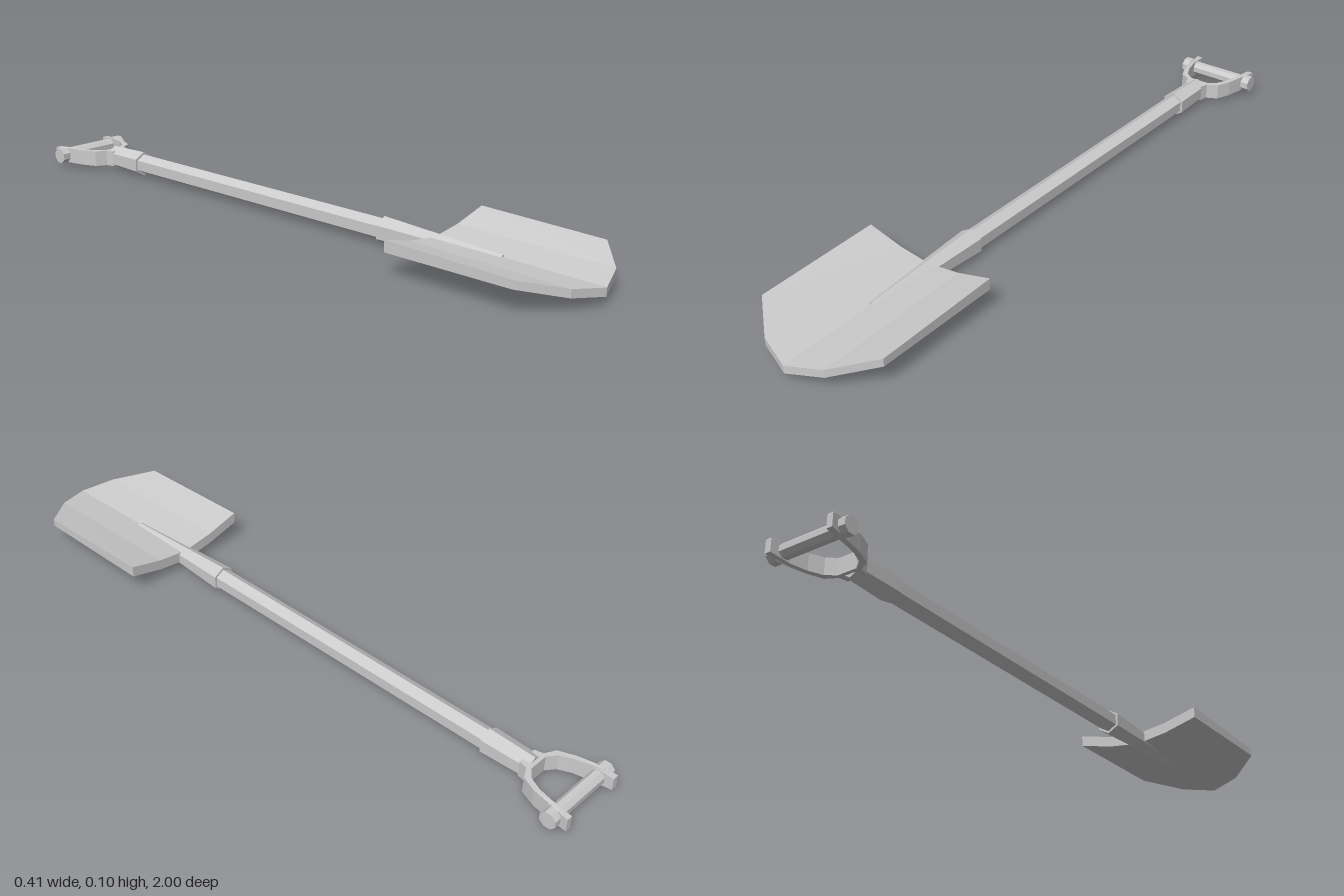
import * as THREE from 'three';

const AXIS_Y = 0.0385; // height of the shaft's centre line

export function createModel() {
  const group = new THREE.Group();
  group.name = 'shovel';
  const material = new THREE.MeshStandardMaterial({ color: 0xcccccc, flatShading: true });

  const add = (name, geometry) => {
    const mesh = new THREE.Mesh(geometry, material);
    mesh.name = name;
    group.add(mesh);
    return mesh;
  };

  // Hexagonal rod along z, with an edge pointing straight up
  const hexRod = (name, zBack, zFront, rBack, rFront) => {
    const geometry = new THREE.CylinderGeometry(rFront, rBack, zFront - zBack, 6);
    geometry.rotateX(Math.PI / 2);
    add(name, geometry).position.set(0, AXIS_Y, (zBack + zFront) / 2);
  };
  hexRod('shaft', -0.8, 0.42, 0.031, 0.031);
  hexRod('bladeSocket', 0.32, 0.705, 0.0385, 0.019);
  hexRod('handleCollar', -0.825, -0.68, 0.034, 0.0385);

  // Blade: dished slab with a pointed front, thinner towards the cutting edge
  const blade = new THREE.BoxGeometry(4, 1, 1, 4, 1, 1);
  const columns = [
    { x: 0, y: 0.023, front: 1.0 },
    { x: 0.1, y: 0.037, front: 0.965 },
    { x: 0.205, y: 0.064, front: 0.875 },
  ];
  const p = blade.attributes.position;
  for (let i = 0; i < p.count; i++) {
    const c = columns[Math.round(Math.abs(p.getX(i)))];
    const atFront = p.getZ(i) > 0;
    const thickness = p.getY(i) > 0 ? (atFront ? 0.023 : 0.033) : 0;
    p.setXYZ(i, Math.sign(p.getX(i)) * c.x, c.y + thickness, atFront ? c.front : 0.49);
  }
  blade.computeVertexNormals();
  add('blade', blade);

  // Fork: half outline as (x, distance behind the centre), mirrored, then extruded upwards
  const outer = [[0.03, 0.8], [0.036, 0.825], [0.068, 0.842], [0.086, 0.885], [0.097, 0.935], [0.106, 1.0]];
  const inner = [[0.088, 1.0], [0.083, 0.94], [0.073, 0.893], [0.056, 0.856], [0.03, 0.836]];
  const half = [...outer, ...inner];
  const mirrored = half.map(([x, z]) => [-x, z]).reverse();
  const outline = [...half, ...mirrored].map(([x, z]) => new THREE.Vector2(x, z));
  const height = 0.048;
  const fork = new THREE.ExtrudeGeometry(new THREE.Shape(outline), { depth: height, bevelEnabled: false });
  fork.translate(0, 0, -height / 2);
  fork.rotateX(-Math.PI / 2);
  const f = fork.attributes.position;
  for (let i = 0; i < f.count; i++) {
    if (f.getZ(i) < -0.99) f.setY(i, f.getY(i) * 0.8); // narrowed arm tips
  }
  fork.computeVertexNormals();
  add('handleFork', fork).position.y = AXIS_Y;

  // Cross grip with a bolt head on each end
  const crossRod = (name, x, length, radius) => {
    const geometry = new THREE.CylinderGeometry(radius, radius, length, 8);
    geometry.rotateY(Math.PI / 8);
    geometry.rotateZ(Math.PI / 2);
    add(name, geometry).position.set(x, AXIS_Y, -0.957);
  };
  crossRod('grip', 0, 0.2, 0.021);
  for (const side of [-1, 1]) {
    crossRod(side > 0 ? 'leftBoltHead' : 'rightBoltHead', side * 0.1125, 0.025, 0.025);
  }

  return group;
}
